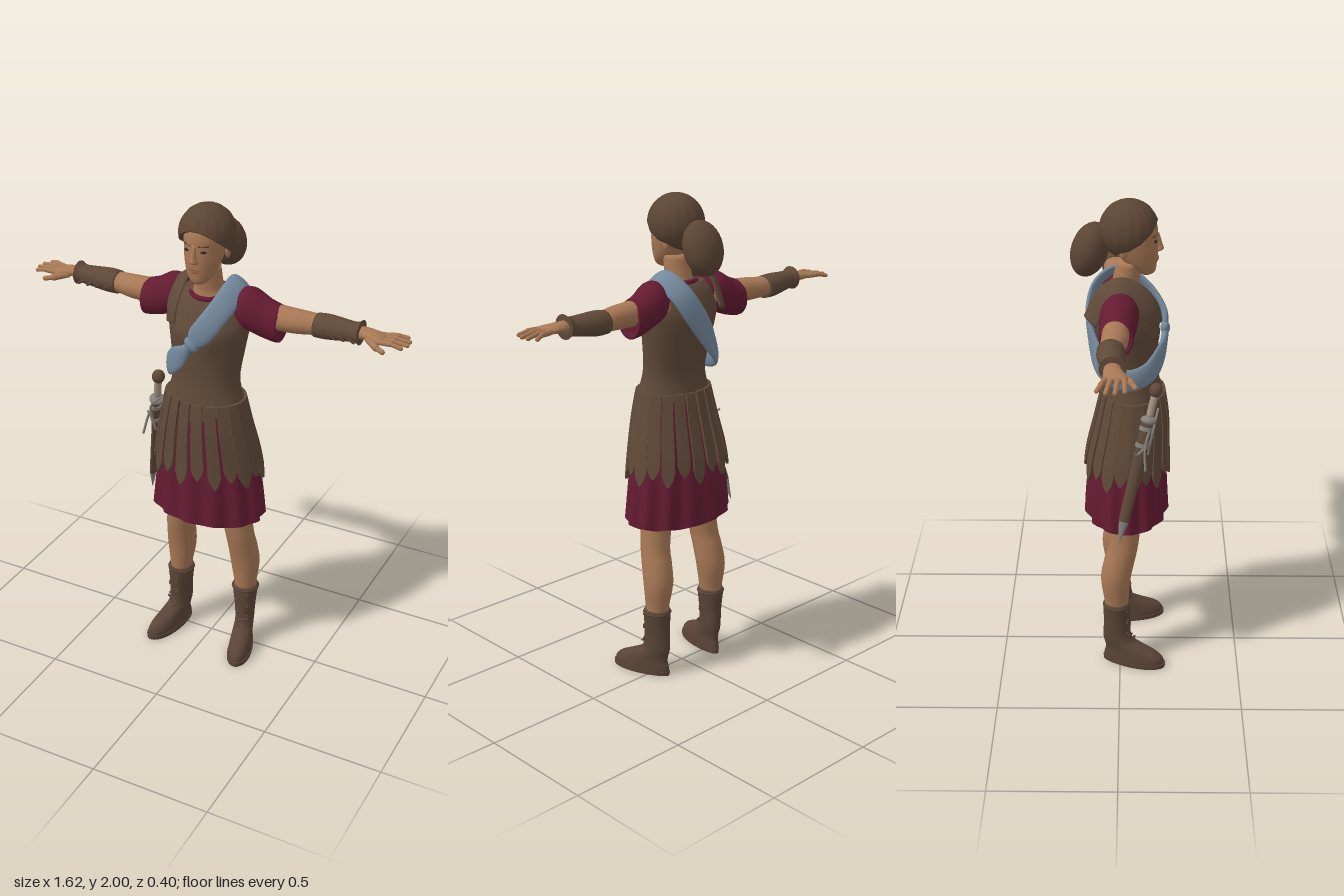
import * as THREE from 'three';
import { toCreasedNormals } from 'three/addons/utils/BufferGeometryUtils.js';

const V = (x, y, z) => new THREE.Vector3(x, y, z);
const mat = (name, color, side = THREE.FrontSide) => {
  const m = new THREE.MeshStandardMaterial({ color, side });
  m.name = name;
  return m;
};

// Smooth value of the section rows at position t (0 .. rows - 1)
function section(rows, t) {
  const i = Math.min(Math.floor(t), rows.length - 2), f = t - i;
  const at = k => rows[Math.max(0, Math.min(rows.length - 1, k))];
  return rows[i].map((b, k) => {
    const a = at(i - 1)[k], c = at(i + 1)[k], d = at(i + 2)[k];
    return b + 0.5 * f * (c - a + f * (2 * a - 5 * b + 4 * c - d + f * (3 * (b - c) + d - a)));
  });
}
function ringPoint(rows, t, u, grow = 0) {
  const [y, cx, cz, rx, rz] = section(rows, t);
  return V(cx + (rx + grow) * Math.sin(u), y, cz + (rz + grow) * Math.cos(u));
}
// Closed-ring surface; fn(u, v) with u around and v from bottom to top
function surface(fn, nu, nv, cap = true) {
  const pos = [], idx = [];
  for (let j = 0; j <= nv; j++) for (let i = 0; i < nu; i++) pos.push(...fn(i / nu * Math.PI * 2, j / nv).toArray());
  for (let j = 0; j < nv; j++) for (let i = 0; i < nu; i++) {
    const a = j * nu + i, b = j * nu + (i + 1) % nu;
    idx.push(a, b, b + nu, a, b + nu, a + nu);
  }
  if (cap) [0, nv].forEach(j => {
    const c = V(0, 0, 0), n = pos.length / 3;
    for (let i = 0; i < nu; i++) c.add(V(...pos.slice((j * nu + i) * 3, (j * nu + i) * 3 + 3)));
    pos.push(...c.divideScalar(nu).toArray());
    for (let i = 0; i < nu; i++) {
      const a = j * nu + i, b = j * nu + (i + 1) % nu;
      j ? idx.push(n, a, b) : idx.push(n, b, a);
    }
  });
  const g = new THREE.BufferGeometry();
  g.setAttribute('position', new THREE.Float32BufferAttribute(pos, 3));
  g.setIndex(idx);
  g.computeVertexNormals();
  return g;
}
// rows: [y, centre x, centre z, radius x, radius z]
function loft(rows, warp, cap = true, nu = 32) {
  const n = rows.length - 1;
  return surface((u, v) => {
    const p = ringPoint(rows, v * n, u);
    if (warp) warp(p, u, v * n);
    return p;
  }, nu, n * 4, cap);
}
// rows: [x, centre y, centre z, radius y, radius z]
const armLoft = (rows, cap) => loft(rows.map(([x, y, ...r]) => [x, -y, ...r]), null, cap, 24).rotateZ(-Math.PI / 2);

// Cloth band along a path that faces away from the torso; width(t) is its half width
function ribbon(points, closed, width, thick) {
  const curve = new THREE.CatmullRomCurve3(points, closed);
  return surface((u, v) => {
    const p = curve.getPoint(v), T = curve.getTangent(v);
    const N = V(p.x, p.y - Math.min(p.y, 1.52), p.z - 0.02);
    N.addScaledVector(T, -N.dot(T)).normalize();
    const B = V(0, 0, 0).crossVectors(N, T);
    return p.addScaledVector(N, Math.cos(u) * thick).addScaledVector(B, Math.sin(u) * width(v));
  }, 16, 72, !closed);
}
function rod(a, b, r) {
  const d = b.clone().sub(a), g = new THREE.CapsuleGeometry(r, d.length(), 4, 10);
  g.applyQuaternion(new THREE.Quaternion().setFromUnitVectors(V(0, 1, 0), d.normalize()));
  const c = a.clone().add(b).multiplyScalar(0.5);
  return g.translate(c.x, c.y, c.z);
}
const ball = (x, y, z, a, b, c) => new THREE.SphereGeometry(1, 24, 16).scale(a, b, c).translate(x, y, z);

export function createModel() {
  const root = new THREE.Group();
  root.name = 'figure';
  const skin = mat('skin', 0xa87855), lip = mat('lips', 0x8f5c48), dark = mat('dark detail', 0x33261f);
  const leather = mat('leather', 0x5f4938, THREE.DoubleSide), boot = mat('boot leather', 0x5a4436);
  const red = mat('red cloth', 0x641b32, THREE.DoubleSide), blue = mat('blue cloth', 0x74899d, THREE.DoubleSide);
  const hairMat = mat('hair', 0x5c4534, THREE.DoubleSide), steel = mat('steel', 0x85807a), grip = mat('grip', 0xa3937f);
  const add = (name, g, m, parent = root) => {
    const mesh = new THREE.Mesh(g, m);
    mesh.name = name;
    parent.add(mesh);
    return mesh;
  };

  // Head and neck
  add('head', loft([[1.705, 0, .1, .018, .018], [1.718, 0, .098, .036, .036], [1.75, 0, .08, .058, .06], [1.8, 0, .062, .072, .083],
    [1.85, 0, .046, .079, .098], [1.9, 0, .04, .082, .1], [1.95, 0, .035, .068, .082], [1.975, 0, .03, .03, .04]]), skin);
  add('neck', loft([[1.56, 0, .02, .08, .06], [1.635, 0, .015, .075, .06], [1.67, 0, .02, .058, .053], [1.76, 0, .035, .053, .05]]), skin);
  add('nose', loft([[1.797, 0, .14, .012, .008], [1.806, 0, .143, .018, .023], [1.825, 0, .142, .011, .019], [1.87, 0, .139, .009, .009]], null, true, 12), skin);
  add('upperLip', ball(0, 1.773, .139, .023, .005, .009), lip);
  add('lowerLip', ball(0, 1.764, .137, .019, .006, .009), lip);
  for (const s of [-1, 1]) {
    add('eye', ball(s * .032, 1.846, .132, .014, .006, .008), dark);
    add('brow', rod(V(s * .017, 1.867, .138), V(s * .048, 1.868, .124), .004), hairMat);
    add('ear', ball(s * .076, 1.815, .012, .009, .026, .016), skin);
  }

  // Hair with a raised hairline over the brow, and a bun
  add('hair', surface((u, v) => {
    const f = Math.cos(u), c = -.5 + (f > 0 ? .82 * Math.pow(f, 1.3) : .42 * f);
    const th = Math.acos(c) * (1 - Math.max(0, v - .06) / .94 * .995);
    const r = (v === 0 ? .86 : 1) * (1 + .012 * Math.cos(u * 16) * Math.sin(th));
    return V(.11 * r * Math.sin(th) * Math.sin(u), 1.885 + .115 * r * Math.cos(th), .033 + .114 * r * Math.sin(th) * f);
  }, 64, 24), hairMat);
  const bun = add('bun', ball(0, 0, 0, .085, .11, .072), hairMat);
  bun.position.set(0, 1.802, -.117);
  bun.rotation.x = .32;

  // Cuirass with a dipping front edge
  add('cuirass', loft([[1.185, 0, .05, .17, .128], [1.215, 0, .05, .158, .118], [1.3, 0, .045, .14, .106], [1.42, 0, .03, .153, .12],
    [1.5, 0, .02, .165, .127], [1.55, 0, .01, .167, .118], [1.62, 0, .005, .148, .085], [1.655, 0, 0, .11, .05]], (p, u, t) => {
    const f = Math.max(0, Math.cos(u));
    p.y -= .055 * Math.pow(f, 5) * Math.max(0, 1 - t / 1.6);
    p.z += .016 * f * Math.exp(-(((Math.abs(p.x) - .07) / .045) ** 2) - ((p.y - 1.49) / .055) ** 2);
  }, true, 48), leather);
  const collar = add('collar', new THREE.TorusGeometry(.074, .012, 10, 36).rotateX(Math.PI / 2), red);
  collar.scale.z = .85;
  collar.position.set(0, 1.643, .018);
  collar.rotation.x = .22;
  add('shoulderStrap', ribbon([V(-.108, 1.535, .135), V(-.11, 1.6, .115), V(-.112, 1.66, .06), V(-.115, 1.685, 0), V(-.115, 1.655, -.06),
    V(-.11, 1.55, -.115)], false, v => .042 + .012 * Math.sin(v * Math.PI), .011), leather);

  // Tunic skirt with folds
  const skirt = [[.67, 0, .025, .24, .165], [.8, 0, .025, .228, .16], [.95, 0, .03, .208, .15], [1.1, 0, .045, .175, .13], [1.22, 0, .05, .148, .108]];
  add('tunicSkirt', loft(skirt, (p, u, t) => {
    const k = .011 * (1 - t / 4) * Math.cos(u * 13 + .6);
    p.x += k * Math.sin(u);
    p.z += k * Math.cos(u);
    p.y += .006 * Math.cos(u * 13 + .6) * Math.max(0, 1 - t);
  }, false, 104), red);

  // Hanging leather strips with pointed ends
  const strips = 20;
  for (let k = 0; k < strips; k++) {
    const u0 = (k + .5) / strips * Math.PI * 2, end = k % 2 ? 1.38 : 1.6;
    const g = new THREE.BoxGeometry(1, 1, 1, 2, 14, 1), p = g.attributes.position;
    for (let i = 0; i < p.count; i++) {
      const v = .5 - p.getY(i), t = 3.95 + (end - 3.95) * v;
      const [, , , rx, rz] = section(skirt, t);
      const arc = Math.hypot(rx * Math.cos(u0), rz * Math.sin(u0));
      const w = (.036 + .016 * v) * Math.min(1, (1.02 - v) / .13);
      const q = ringPoint(skirt, t, u0 + p.getX(i) * w / arc, .016 + p.getZ(i) * .012);
      p.setXYZ(i, q.x, q.y, q.z);
    }
    add('skirtStrip', toCreasedNormals(g, .6), leather);
  }

  // Sash over the left shoulder, gathered at the chest
  const sashWidth = v => .047 - .028 * Math.exp(-(((v - .285) / .05) ** 2));
  add('sash', ribbon([V(.115, 1.682, -.005), V(.095, 1.62, .1), V(.045, 1.535, .165), V(0, 1.475, .176), V(-.07, 1.4, .158), V(-.13, 1.34, .108),
    V(-.158, 1.32, .03), V(-.13, 1.35, -.055), V(-.05, 1.43, -.105), V(.04, 1.54, -.122), V(.095, 1.635, -.088)], true, sashWidth, .014), blue);
  const knot = add('sashKnot', ball(0, 0, 0, .024, .034, .019), blue);
  knot.position.set(.003, 1.478, .176);
  knot.rotation.z = .75;

  // Arms, legs and boots, built on the left and mirrored
  for (const s of [1, -1]) {
    const side = new THREE.Group();
    side.name = s > 0 ? 'leftLimbs' : 'rightLimbs';
    side.scale.x = s;
    root.add(side);
    add('sleeve', armLoft([[.1, 1.6, 0, .055, .05], [.14, 1.597, 0, .08, .07], [.18, 1.59, -.003, .087, .075], [.24, 1.562, -.01, .08, .068],
      [.293, 1.548, -.013, .073, .065], [.288, 1.55, -.013, .05, .05]]), red, side);
    add('arm', armLoft([[.12, 1.585, -.01, .055, .055], [.28, 1.575, -.015, .05, .052], [.36, 1.573, -.018, .047, .051], [.44, 1.573, -.028, .04, .045],
      [.6, 1.58, -.022, .026, .032], [.64, 1.583, -.02, .021, .034], [.69, 1.581, -.01, .016, .044], [.715, 1.578, -.008, .011, .04]]), skin, side);
    add('bracer', armLoft([[.432, 1.57, -.03, .046, .051], [.48, 1.572, -.03, .048, .052], [.56, 1.576, -.025, .04, .045], [.595, 1.579, -.022, .038, .042],
      [.617, 1.581, -.021, .048, .05]]), leather, side);
    for (const x of [.46, .5, .54, .58]) add('bracerLace', rod(V(x, 1.565, .018), V(x + .02, 1.55, .012), .006), leather, side);
    [[-.043, .79, -.073], [-.022, .808, -.042], [.002, .81, -.01], [.022, .798, .024]].forEach(([z0, x, z]) => {
      const mid = V(.75, 1.582, z0 + (z - z0) * .55);
      add('finger', rod(V(.695, 1.58, z0), mid, .0105), skin, side);
      add('fingerTip', rod(mid, V(x - .008, 1.574, z), .0085), skin, side);
    });
    add('thumb', rod(V(.655, 1.575, .008), V(.7, 1.567, .045), .014), skin, side);
    add('thumbTip', rod(V(.7, 1.567, .045), V(.732, 1.562, .06), .01), skin, side);

    add('leg', loft([[.22, .158, -.015, .042, .046], [.3, .156, -.015, .046, .05], [.41, .152, -.018, .061, .062], [.5, .146, -.002, .061, .064],
      [.56, .14, .012, .06, .062], [.66, .127, .02, .064, .066], [.8, .115, .025, .078, .08], [1, .09, .03, .085, .09]]), skin, side);

    const foot = new THREE.Group();
    foot.name = 'boot';
    foot.position.x = .16;
    foot.rotation.y = .25;
    side.add(foot);
    const spread = p => { p.x *= 1 + Math.max(-.12, 1.7 * p.z) * Math.max(0, 1 - p.y / .13); };
    add('bootUpper', loft([[.01, 0, .06, .043, .13], [.035, 0, .06, .044, .129], [.06, 0, .05, .042, .113], [.085, 0, .022, .041, .087],
      [.12, 0, -.01, .04, .063], [.2, 0, -.014, .045, .056], [.285, 0, -.015, .054, .057], [.297, 0, -.015, .046, .049]], spread), boot, foot);
    add('sole', toCreasedNormals(loft([[0, 0, .062, .045, .135], [.018, 0, .062, .046, .136]], spread), .8), boot, foot);
    const cuff = add('bootCuff', new THREE.TorusGeometry(.053, .006, 8, 28).rotateX(Math.PI / 2), boot, foot);
    cuff.position.set(0, .283, -.015);
    for (let i = 0; i < 6; i++) {
      const y = .105 + i * .03, z = .043 + Math.max(0, .02 - i * .012), d = i % 2 ? 1 : -1;
      add('bootLace', rod(V(-.022, y - d * .01, z - .006), V(.022, y + d * .01, z - .006), .005), boot, foot);
    }
  }

  // Sheathed sword at the right hip, modelled along -y from the pommel
  const sword = new THREE.Group();
  sword.name = 'sword';
  const top = V(-.165, 1.285, .14), tip = V(-.288, .66, -.005);
  sword.position.copy(top);
  sword.quaternion.setFromUnitVectors(V(0, -1, 0), tip.clone().sub(top).normalize());
  root.add(sword);
  add('pommel', ball(0, 0, 0, .026, .03, .026), leather, sword);
  add('grip', rod(V(0, -.03, 0), V(0, -.1, 0), .015), grip, sword);
  add('guard', ball(0, -.125, 0, .032, .018, .032), steel, sword);
  const sheath = new THREE.CylinderGeometry(.026, .022, .42, 16).scale(.6, 1, 1).translate(0, -.345, 0);
  add('scabbard', sheath, leather, sword);
  add('scabbardTip', new THREE.CylinderGeometry(.022, .002, .1, 16).scale(.6, 1, 1).translate(0, -.6, 0), steel, sword);
  for (const y of [-.16, -.23]) add('scabbardBand', new THREE.CylinderGeometry(.029, .029, .016, 16).scale(.7, 1, 1).translate(0, y, 0), steel, sword);
  // Loose ties around the scabbard
  [[V(-.15, 1.2, .15), V(-.21, 1.13, .13), V(-.2, 1.02, .11)], [V(-.17, 1.17, .14), V(-.235, 1.08, .1), V(-.265, .98, .1)],
    [V(-.2, 1.1, .13), V(-.24, 1.04, .07), V(-.27, 1.06, .05)]].forEach(pts =>
    add('tie', new THREE.TubeGeometry(new THREE.CatmullRomCurve3(pts), 14, .005, 6), steel));

  return root;
}
